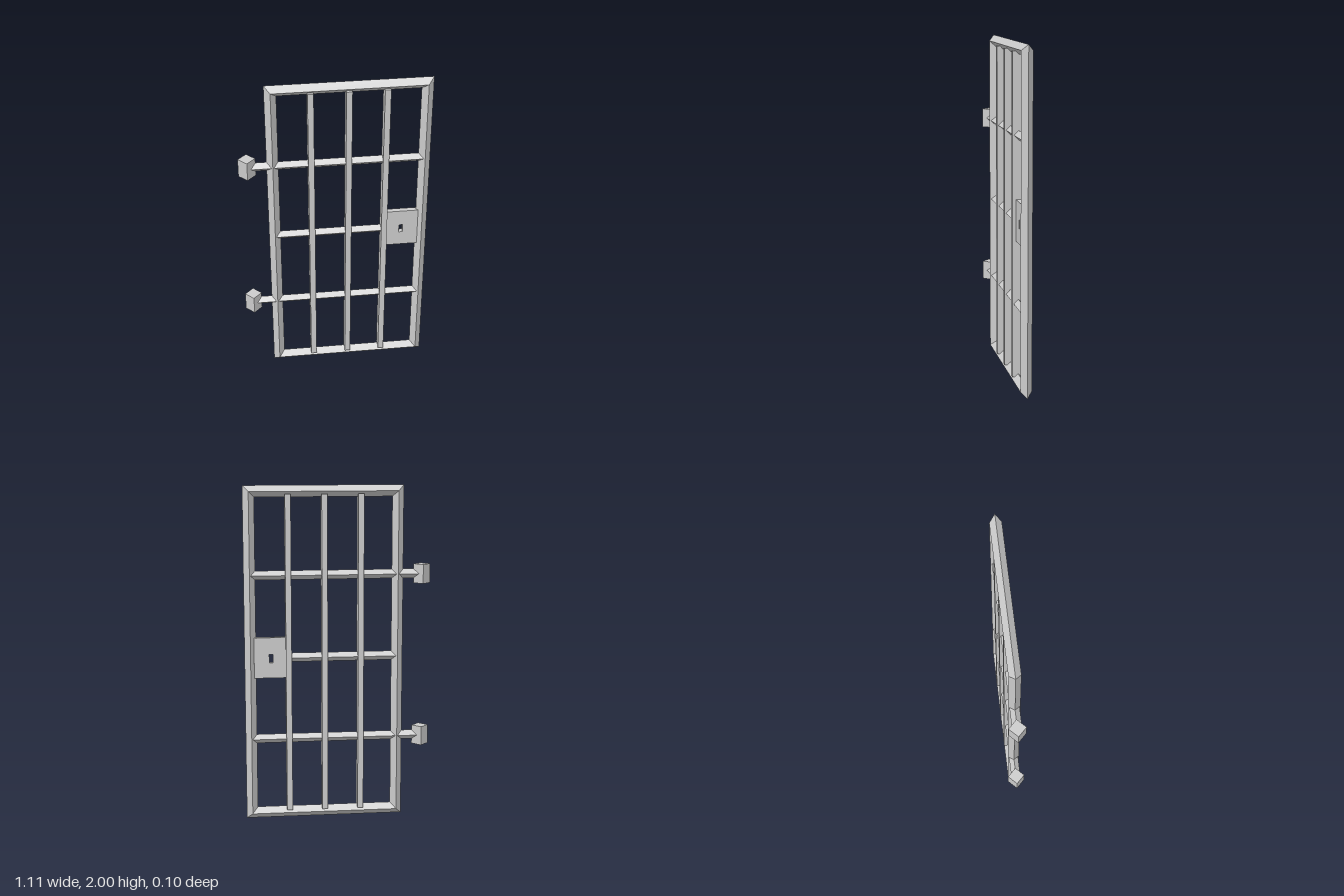
import * as THREE from 'three';

const material = new THREE.MeshStandardMaterial({ color: 0xcccccc, flatShading: true });

// Frame centre lines and section half-width
const LEFT = -0.358, RIGHT = 0.517, BOTTOM = 0.034, TOP = 1.966, HALF = 0.034;

function add(group, name, geometry, x = 0, y = 0, z = 0) {
  const mesh = new THREE.Mesh(geometry, material);
  mesh.name = name;
  mesh.position.set(x, y, z);
  group.add(mesh);
  return mesh;
}

// Diamond section carried round a rectangle, giving mitred corners
function mitredFrame() {
  const section = [[HALF, 0], [0, HALF], [-HALF, 0], [0, -HALF]];
  const corners = [[-1, -1], [1, -1], [1, 1], [-1, 1]];
  const point = (k, i) => {
    const [out, z] = section[k % 4];
    const [sx, sy] = corners[i % 4];
    return [(sx < 0 ? LEFT : RIGHT) + sx * out, (sy < 0 ? BOTTOM : TOP) + sy * out, z];
  };
  const positions = [];
  for (let i = 0; i < 4; i++) {
    for (let k = 0; k < 4; k++) {
      const a = point(k, i), b = point(k, i + 1), c = point(k + 1, i + 1), d = point(k + 1, i);
      positions.push(...a, ...b, ...c, ...a, ...c, ...d);
    }
  }
  const geometry = new THREE.BufferGeometry();
  geometry.setAttribute('position', new THREE.Float32BufferAttribute(positions, 3));
  geometry.computeVertexNormals();
  return geometry;
}

// Square bar turned on edge, running along x
function diamondBar(x0, x1, half) {
  const side = half * Math.SQRT2;
  return new THREE.BoxGeometry(x1 - x0, side, side).rotateX(Math.PI / 4).translate((x0 + x1) / 2, 0, 0);
}

// Lock plate with a through keyhole
function lockPlate() {
  const shape = new THREE.Shape();
  shape.moveTo(0.305, 0.867).lineTo(0.495, 0.867).lineTo(0.495, 1.11).lineTo(0.305, 1.11).closePath();
  const hole = new THREE.Path();
  hole.moveTo(0.383, 0.958).lineTo(0.383, 1.01).lineTo(0.406, 1.01).lineTo(0.406, 0.958).closePath();
  shape.holes.push(hole);
  return new THREE.ExtrudeGeometry(shape, { depth: 0.03, bevelEnabled: false }).translate(0, 0, -0.015);
}

export function createModel() {
  const group = new THREE.Group();
  group.name = 'barredDoor';

  add(group, 'frame', mitredFrame());

  // Upright bars
  for (const x of [-0.138, 0.077, 0.291]) {
    add(group, 'uprightBar', new THREE.BoxGeometry(0.034, 1.9, 0.07), x, 1.0, 0);
  }

  // Cross bars; the middle one stops at the lock plate
  add(group, 'middleCrossBar', diamondBar(LEFT, 0.308, 0.027), 0, 0.987, 0);
  for (const y of [0.494, 1.478]) {
    add(group, 'crossBar', diamondBar(LEFT, RIGHT, 0.027), 0, y, 0);
    add(group, 'hingeArm', diamondBar(-0.49, LEFT, 0.028), 0, y, 0);
    const side = 0.05 * Math.SQRT2;
    add(group, 'hingeBlock', new THREE.BoxGeometry(side, 0.114, side).rotateY(Math.PI / 4), -0.504, y, 0);
  }

  add(group, 'lockPlate', lockPlate());
  return group;
}
